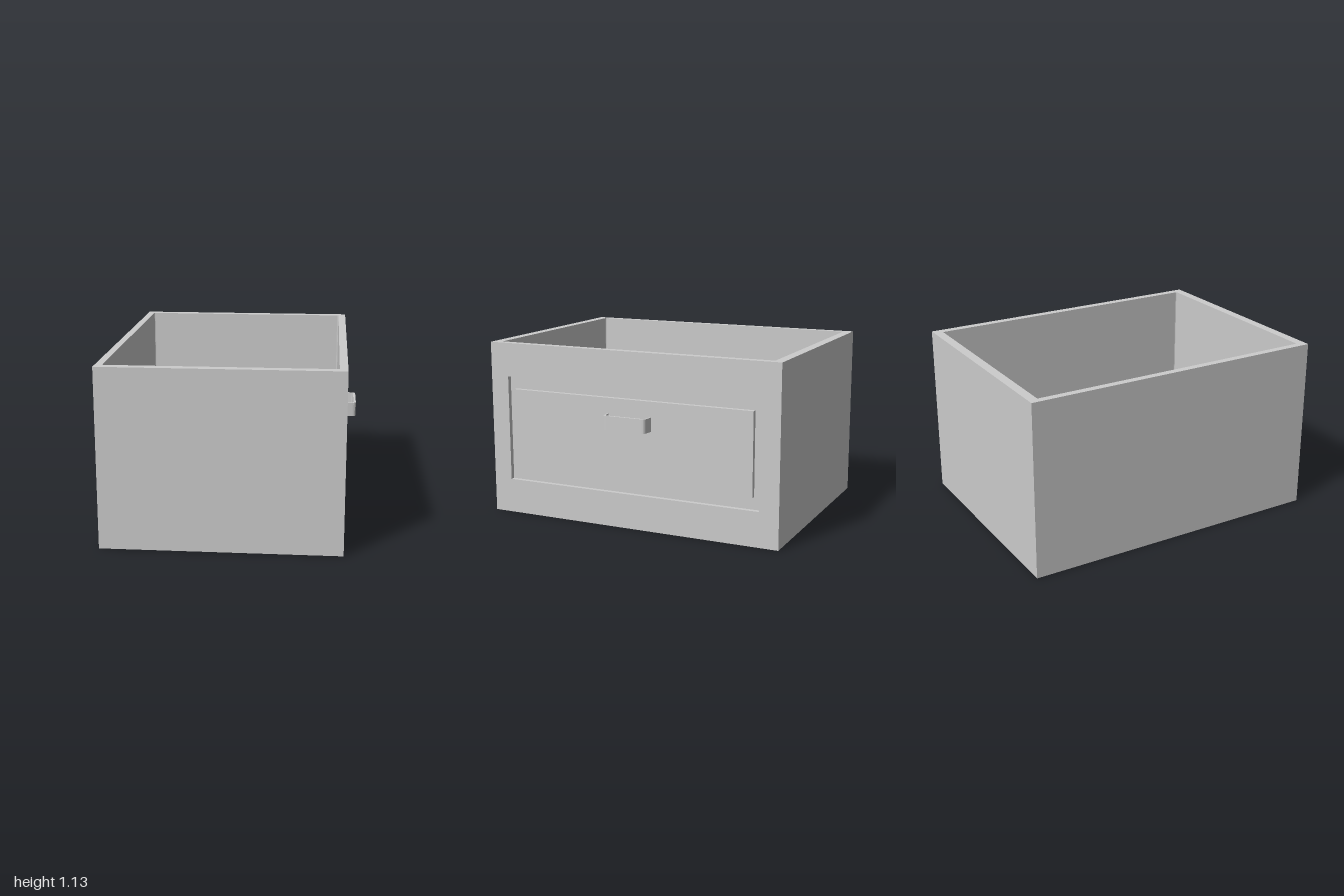
import * as THREE from 'three';

const material = new THREE.MeshStandardMaterial({ color: 0xcccccc, flatShading: true });

// Traces a rectangle with optional corner radius
function rect(path, x0, y0, x1, y1, r = 0) {
  path.moveTo(x0 + r, y0);
  path.lineTo(x1 - r, y0);
  if (r) path.quadraticCurveTo(x1, y0, x1, y0 + r);
  path.lineTo(x1, y1 - r);
  if (r) path.quadraticCurveTo(x1, y1, x1 - r, y1);
  path.lineTo(x0 + r, y1);
  if (r) path.quadraticCurveTo(x0, y1, x0, y1 - r);
  path.lineTo(x0, y0 + r);
  if (r) path.quadraticCurveTo(x0, y0, x0 + r, y0);
  return path;
}

const extrude = (shape, depth) =>
  new THREE.ExtrudeGeometry(shape, { depth, bevelEnabled: false, curveSegments: 4 });

export function createModel() {
  const group = new THREE.Group();
  const add = (name, geometry) => {
    const mesh = new THREE.Mesh(geometry, material);
    mesh.name = name;
    group.add(mesh);
  };

  const height = 1.135, back = -0.78, face = 0.71, groove = 0.03;
  const seat = face - groove; // plane of the groove bottom

  // Four walls, drawn in plan and raised
  const plan = rect(new THREE.Shape(), back, -1, seat, 1);
  plan.holes.push(rect(new THREE.Path(), -0.735, -0.94, 0.66, 0.94, 0.01));
  add('walls', extrude(plan, height).rotateX(-Math.PI / 2));

  // Floor inside the walls
  const floor = rect(new THREE.Shape(), -0.735, -0.94, 0.66, 0.94, 0.01);
  add('floor', extrude(floor, 0.1).rotateX(-Math.PI / 2));

  // Face frame and centre panel, leaving a groove between them
  const frame = rect(new THREE.Shape(), -1, 0, 1, height);
  frame.holes.push(rect(new THREE.Path(), -0.875, 0.225, 0.875, 0.915));
  add('faceFrame', extrude(frame, groove).rotateY(Math.PI / 2).translate(seat, 0, 0));
  const panel = rect(new THREE.Shape(), -0.83, 0.305, 0.83, 0.835);
  add('facePanel', extrude(panel, groove).rotateY(Math.PI / 2).translate(seat, 0, 0));

  // Bent strap handle, drawn in plan and raised
  const handle = new THREE.Shape();
  handle.moveTo(face, -0.153);
  handle.lineTo(0.755, -0.147);
  handle.quadraticCurveTo(0.78, -0.145, 0.78, -0.125);
  handle.lineTo(0.78, 0.125);
  handle.quadraticCurveTo(0.78, 0.145, 0.755, 0.147);
  handle.lineTo(face, 0.153);
  handle.lineTo(face, 0.143);
  handle.lineTo(0.752, 0.137);
  handle.quadraticCurveTo(0.765, 0.135, 0.765, 0.122);
  handle.lineTo(0.765, -0.122);
  handle.quadraticCurveTo(0.765, -0.135, 0.752, -0.137);
  handle.lineTo(face, -0.143);
  handle.closePath();
  add('handle', extrude(handle, 0.09).rotateX(-Math.PI / 2).translate(0, 0.645, -0.005));

  return group;
}
